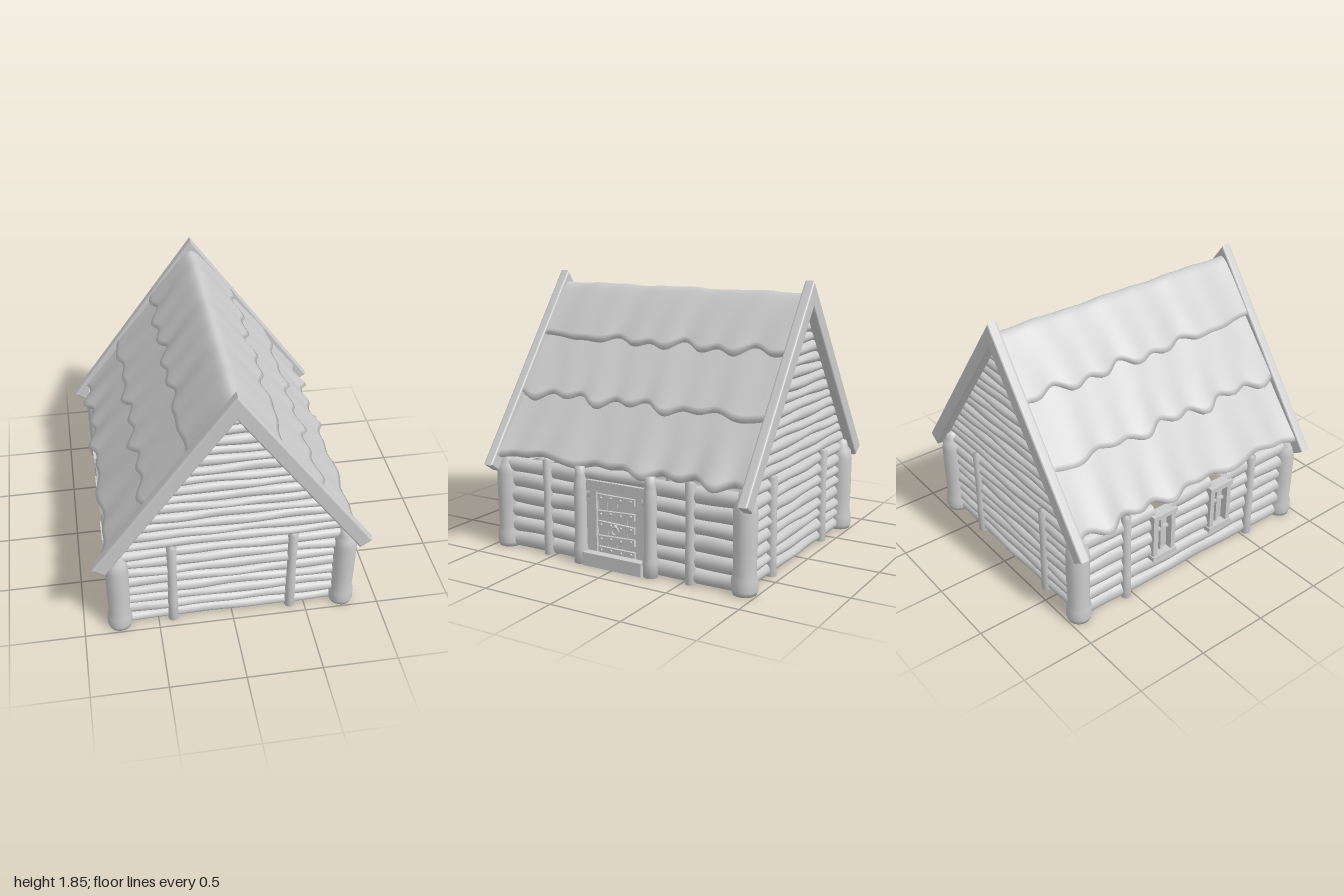
import * as THREE from 'three';

const material = new THREE.MeshStandardMaterial({ color: 0xcccccc, side: THREE.DoubleSide });

function add(parent, name, geometry, x = 0, y = 0, z = 0) {
  const mesh = new THREE.Mesh(geometry, material);
  mesh.name = name;
  mesh.position.set(x, y, z);
  parent.add(mesh);
  return mesh;
}

// Smooth sheet: fn(u, v) gives a point for u, v in 0..1
function sheet(nu, nv, fn) {
  const pos = [], index = [];
  for (let j = 0; j <= nv; j++)
    for (let i = 0; i <= nu; i++) pos.push(...fn(i / nu, j / nv));
  for (let j = 0; j < nv; j++)
    for (let i = 0; i < nu; i++) {
      const a = j * (nu + 1) + i, b = a + nu + 1;
      index.push(a, a + 1, b + 1, a, b + 1, b);
    }
  const g = new THREE.BufferGeometry();
  g.setAttribute('position', new THREE.Float32BufferAttribute(pos, 3));
  g.setIndex(index);
  g.computeVertexNormals();
  return g;
}

// Gentle hand-hewn wobble
const wobble = (t, k) => 0.6 * Math.sin(t * 5.3 + k * 2.1) + 0.4 * Math.sin(t * 11.7 + k * 4.7);

// Stack of half-round logs facing +z, from left(y) to right(y)
function logs(parent, name, y0, y1, rows, left, right, bulge = 0.05, seed = 0) {
  const h = (y1 - y0) / rows;
  for (let r = 0; r < rows; r++) {
    const seam = (x, k) => y0 + k * h + (k > 0 && k < rows ? 0.008 * wobble(x, k + seed) : 0);
    add(parent, name, sheet(24, 8, (u, v) => {
      const yMid = y0 + (r + v) * h;
      const x = left(yMid) + (right(yMid) - left(yMid)) * u;
      const t = (1 - Math.cos(Math.PI * v)) / 2;
      const out = Math.sin(Math.PI * v) * (bulge + 0.006 * wobble(x * 1.3, r * 1.7 + seed));
      return [x, seam(x, r) * (1 - t) + seam(x, r + 1) * t, out];
    }));
  }
}

function post(parent, name, profile, x, z) {
  const pts = profile.map(([r, y]) => new THREE.Vector2(r, y));
  add(parent, name, new THREE.LatheGeometry(pts, 18), x, 0, z);
}

const cornerProfile = [[0, 0], [0.075, 0], [0.084, 0.03], [0.083, 0.1], [0.072, 0.135], [0.076, 0.3],
  [0.077, 0.52], [0.068, 0.58], [0.045, 0.61], [0.042, 0.66], [0, 0.66]];
const doorProfile = [[0, 0], [0.048, 0], [0.051, 0.1], [0.043, 0.14], [0.041, 0.35], [0.045, 0.5],
  [0.04, 0.56], [0.034, 0.6], [0.034, 0.66], [0, 0.66]];
const slimProfile = [[0, 0], [0.034, 0], [0.033, 0.2], [0.03, 0.4], [0.034, 0.65], [0, 0.66]];

// Front or back wall with its gable
function gableWall(seed) {
  const wall = new THREE.Group();
  const half = () => 0.76;
  logs(wall, 'wallLog', 0, 0.64, 8, () => -half(), half, 0.05, seed);
  const slope = y => Math.max(0.02, (1.76 - y) / 1.37);
  logs(wall, 'gableLog', 0.64, 1.72, 15, y => -slope(y), slope, 0.045, seed + 3);
  for (const x of [-0.4, 0.4]) post(wall, 'gablePost', slimProfile, x, 0.04);

  // Verge boards as one chevron
  const s = new THREE.Shape();
  const c = [[0, 1.83], [0.9, 0.595], [0.84, 0.555], [0, 1.7], [-0.84, 0.555], [-0.9, 0.595]];
  s.setFromPoints(c.map(p => new THREE.Vector2(...p)));
  add(wall, 'vergeBoards', new THREE.ExtrudeGeometry(s,
    { depth: 0.04, bevelSize: 0.014, bevelThickness: 0.015, bevelSegments: 3 }), 0, 0, 0.065);
  return wall;
}

function doorWall() {
  const wall = new THREE.Group();
  const box = (name, w, h, d, x, y, z) => add(wall, name, new THREE.BoxGeometry(w, h, d), x, y, z);
  logs(wall, 'wallLog', 0, 0.63, 6, () => -0.915, () => -0.2, 0.045, 1);
  logs(wall, 'wallLog', 0, 0.63, 6, () => 0.2, () => 0.915, 0.045, 5);
  logs(wall, 'lintelLog', 0.56, 0.65, 1, () => -0.24, () => 0.24, 0.05, 2);
  for (const s of [-1, 1]) {
    post(wall, 'sidePost', slimProfile, s * 0.55, 0.035);
    post(wall, 'doorPost', doorProfile, s * 0.27, 0.055);
    box('doorJamb', 0.075, 0.48, 0.05, s * 0.19, 0.33, 0.02);
  }
  box('doorLintel', 0.45, 0.07, 0.06, 0, 0.535, 0.025);
  box('doorSill', 0.45, 0.09, 0.13, 0, 0.045, 0.04);
  for (let i = 0; i < 4; i++) box('doorPlank', 0.073, 0.43, 0.03, (i - 1.5) * 0.075, 0.285, 0.01);
  // Battens with rivets
  [0.46, 0.355, 0.275, 0.185, 0.105].forEach((y, i) => {
    const b = box('doorBatten', 0.28, 0.045, 0.02, 0, y, 0.035);
    b.rotation.z = [0, 0.05, -0.03, 0.04, 0][i];
    for (let k = 0; k < 4; k++)
      add(b, 'rivet', new THREE.SphereGeometry(0.009, 8, 6), -0.115 + k * 0.077, 0.006 * (k % 2), 0.01);
  });
  add(wall, 'doorRing', new THREE.TorusGeometry(0.027, 0.006, 8, 20), 0, 0.255, 0.055);
  add(wall, 'ringMount', new THREE.SphereGeometry(0.013, 10, 8), 0, 0.283, 0.05);
  return wall;
}

function windowWall() {
  const wall = new THREE.Group();
  logs(wall, 'wallLog', 0, 0.21, 2, () => -0.915, () => 0.915, 0.045, 2);
  for (const [a, b] of [[-0.915, -0.32], [-0.18, 0.18], [0.32, 0.915]])
    logs(wall, 'wallLog', 0.21, 0.63, 4, () => a, () => b, 0.045, a * 3);
  for (const s of [-1, 1]) {
    post(wall, 'sidePost', slimProfile, s * 0.55, 0.035);
    const win = new THREE.Group();
    win.name = 'window';
    win.position.set(s * 0.25, 0.385, 0.02);
    const box = (name, w, h, d, x, y, z) => add(win, name, new THREE.BoxGeometry(w, h, d), x, y, z);
    for (const k of [-1, 1]) {
      box('windowJamb', 0.035, 0.34, 0.07, k * 0.075, 0, 0.01);
      box('windowRail', 0.2, 0.035, 0.08, 0, k * 0.165, 0.015);
    }
    box('windowMullion', 0.018, 0.32, 0.03, 0, 0, 0);
    box('windowCrossbar', 0.13, 0.018, 0.03, 0, 0.03, 0);
    box('windowPane', 0.13, 0.32, 0.008, 0, 0, -0.01);
    wall.add(win);
  }
  return wall;
}

// Draped roof course between x0 and x1, with a ragged lower edge and a turned-under lip
function roofCourse(parent, x0, x1, lift0, lift1, seed, amp) {
  const rows = 14;
  const section = (side, v, z) => {
    const lip = v > 1, t = Math.min(v, 1);
    const wave = wobble(z * 2.2 + seed, seed) + 0.5 * Math.sin(z * 23 + seed * 3);
    const x = x0 + (x1 + 0.018 * wave - x0) * t;
    const lift = lift0 + (lift1 - lift0) * t + amp * wave * t * t - (lip ? 0.045 : 0);
    const ridge = 1.77 + 0.006 * wobble(z * 2, 1) - 1.37 * (Math.hypot(x, 0.04) - 0.04);
    return [side * (x + 0.81 * lift), ridge + 0.59 * lift, z];
  };
  const rowsOf = v => v * (rows + 1) / rows;
  if (x0 === 0) {
    add(parent, 'ridgeCourse', sheet(72, 2 * rows + 2, (u, v) => {
      const w = 2 * v - 1;
      return section(w < 0 ? -1 : 1, rowsOf(Math.abs(w)), (u - 0.5) * 1.87);
    }));
  } else {
    for (const side of [-1, 1])
      add(parent, 'roofCourse', sheet(72, rows + 1, (u, v) => section(side, rowsOf(v), side * (u - 0.5) * 1.87)));
  }
}

export function createModel() {
  const house = new THREE.Group();
  house.name = 'logHouse';

  const place = (name, wall, distance, angle) => {
    wall.name = name;
    wall.rotation.y = angle;
    wall.position.set(Math.sin(angle) * distance, 0, Math.cos(angle) * distance);
    house.add(wall);
  };
  place('frontWall', gableWall(0), 0.88, 0);
  place('backWall', gableWall(7), 0.88, Math.PI);
  place('doorWall', doorWall(), 0.755, Math.PI / 2);
  place('windowWall', windowWall(), 0.755, -Math.PI / 2);

  for (const x of [-0.76, 0.76])
    for (const z of [-0.915, 0.915]) post(house, 'cornerPost', cornerProfile, x, z);

  const roof = new THREE.Group();
  roof.name = 'roof';
  roofCourse(roof, 0, 0.3, 0, 0.012, 1, 0.008);
  roofCourse(roof, 0.25, 0.57, -0.025, 0.005, 2.3, 0.01);
  roofCourse(roof, 0.52, 0.835, -0.03, -0.012, 3.9, 0.012);
  house.add(roof);
  return house;
}
